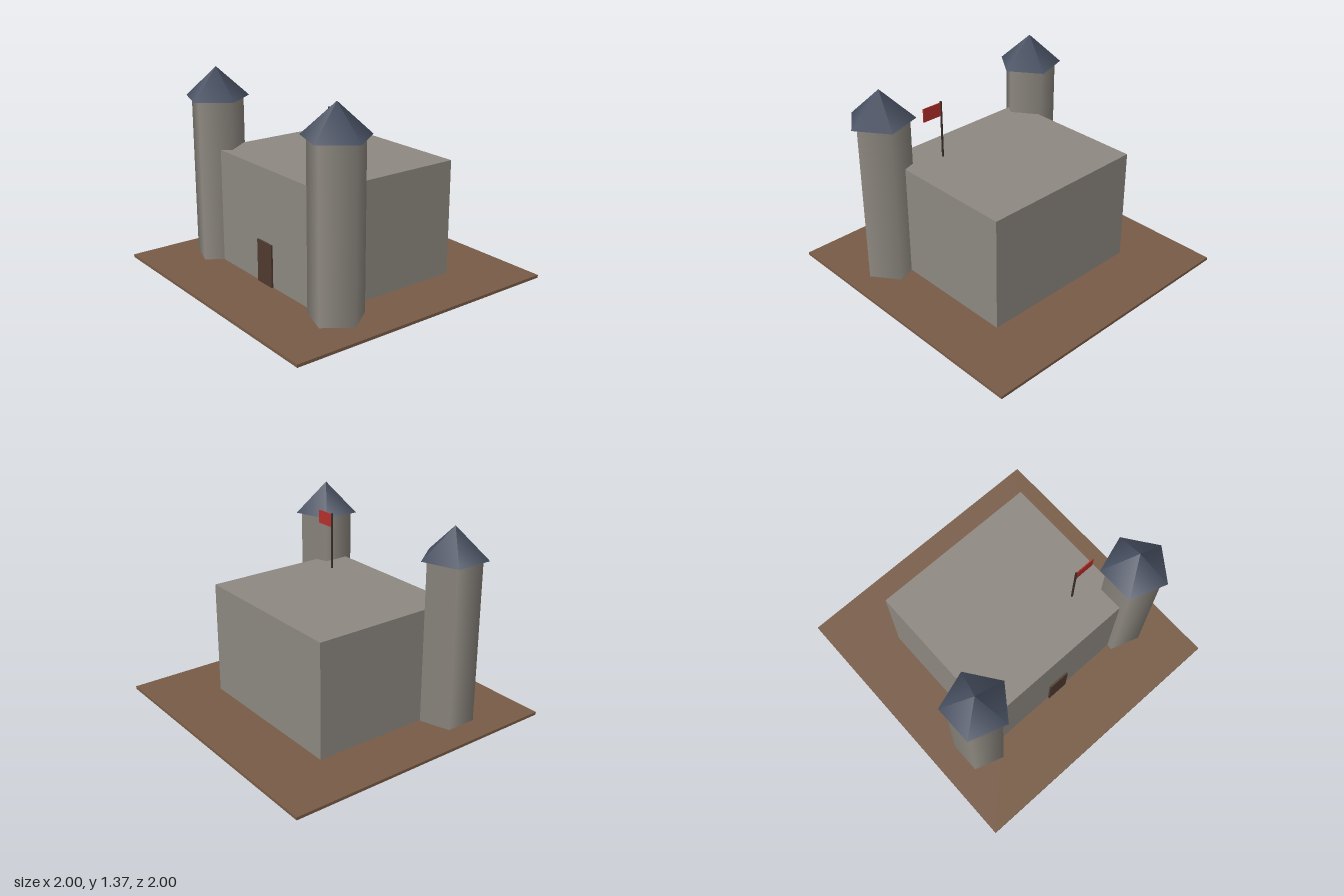
import * as THREE from 'three';

const material = (name, color) => {
  const m = new THREE.MeshStandardMaterial({ color });
  m.name = name;
  return m;
};

export function createModel() {
  const castle = new THREE.Group();
  castle.name = 'castle';

  const stone = material('stone', 0x8e8981);
  const earth = material('earth', 0x795c47);
  const slate = material('slate', 0x464e5f);
  const wood = material('wood', 0x503b30);
  const iron = material('iron', 0x3b302b);
  const red = material('red', 0xb5302b);

  const add = (name, geometry, mat, x, y, z, parent = castle) => {
    const mesh = new THREE.Mesh(geometry, mat);
    mesh.name = name;
    mesh.position.set(x, y, z);
    parent.add(mesh);
    return mesh;
  };

  // Ground slab, keep and door
  add('ground', new THREE.BoxGeometry(2, 0.02, 2), earth, 0, 0.01, 0);
  add('keep', new THREE.BoxGeometry(1.2, 0.8, 1.067), stone, 0, 0.42, 0);
  add('door', new THREE.BoxGeometry(0.16, 0.297, 0.027), wood, 0, 0.168, 0.533);

  // Five-sided front towers, one corner pointing to +x
  const shaft = new THREE.CylinderGeometry(0.187, 0.187, 1.134, 5).rotateY(Math.PI / 2);
  const cone = new THREE.ConeGeometry(0.227, 0.213, 5).rotateY(Math.PI / 2);
  for (const [name, x] of [['rightTower', -0.667], ['leftTower', 0.667]]) {
    const tower = new THREE.Group();
    tower.name = name;
    tower.position.set(x, 0, 0.467);
    castle.add(tower);
    add('towerShaft', shaft, stone, 0, 0.587, 0, tower);
    add('towerRoof', cone, slate, 0, 1.261, 0, tower);
  }

  // Flag floating just above the keep roof
  const flag = new THREE.Group();
  flag.name = 'flag';
  flag.position.set(0.333, 0, 0.267);
  castle.add(flag);
  const pole = new THREE.CylinderGeometry(0.0075, 0.0075, 0.4, 5).rotateY(Math.PI / 2);
  add('flagPole', pole, iron, 0, 1.042, 0, flag);
  add('flagCloth', new THREE.BoxGeometry(0.147, 0.093, 0.007), red, 0.073, 1.188, 0, flag);

  return castle;
}
